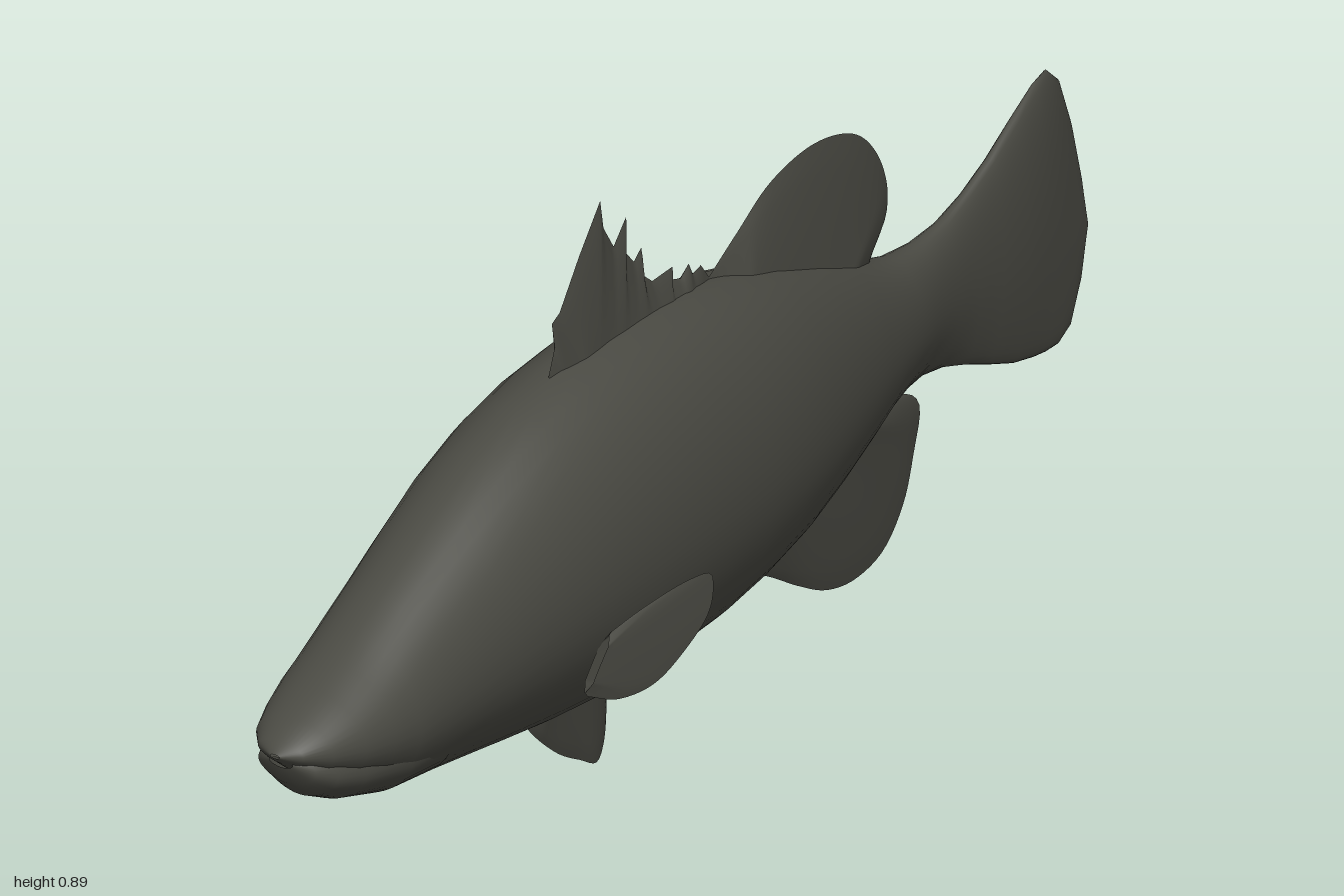
import * as THREE from 'three';

// Builds a smooth skin over a grid of points; closed joins each row's end to its start.
function skin(rows, closed) {
  const n = rows[0].length, pos = rows.flat(2), index = [];
  for (let i = 0; i < rows.length - 1; i++) {
    for (let j = 0; j < (closed ? n : n - 1); j++) {
      const k = (j + 1) % n;
      const a = i * n + j, b = i * n + k, c = a + n, d = b + n;
      index.push(a, b, c, b, d, c);
    }
  }
  const g = new THREE.BufferGeometry();
  g.setAttribute('position', new THREE.Float32BufferAttribute(pos, 3));
  g.setIndex(index);
  g.computeVertexNormals();
  return g;
}

// Egg-shaped rings along z; each section is [z, top, bottom, half width].
function loft(sections, sides = 40) {
  return skin(sections.map(([z, top, bottom, w]) => {
    const c = (top + bottom) / 2, h = (top - bottom) / 2;
    return Array.from({ length: sides }, (_, j) => {
      const a = (j / sides) * Math.PI * 2, s = Math.sin(a), y = Math.cos(a);
      const pinch = y < 0 ? 1 - 0.2 * y * y : 1;
      return [w * s * pinch, c + h * y, z];
    });
  }), true);
}

// Samples a list of [z, y] points, as a smooth curve or as straight spikes.
function sample(points, count, straight) {
  const v = points.map(([z, y]) => new THREE.Vector3(0, y, z));
  if (!straight) return new THREE.CatmullRomCurve3(v, false, 'centripetal').getSpacedPoints(count);
  const out = [];
  for (let i = 0; i <= count; i++) {
    const t = (i / count) * (v.length - 1), k = Math.min(Math.floor(t), v.length - 2);
    out.push(v[k].clone().lerp(v[k + 1], t - k));
  }
  return out;
}

// A fin spans from a base line to its rim, thick at the base and sharp at the rim.
function fin(name, material, base, rim, thick, { straight = false, bend = () => 0 } = {}) {
  const count = straight ? (rim.length - 1) * 4 : 48, steps = 8;
  const b = sample(base, count), r = sample(rim, count, straight);
  const group = new THREE.Group();
  group.name = name;
  for (const side of [1, -1]) {
    const rows = b.map((p, i) => {
      const ends = Math.min(1, 0.1 + 5 * Math.min(i, count - i) / count);
      return Array.from({ length: steps + 1 }, (_, j) => {
        const v = j / steps, q = p.clone().lerp(r[i], v);
        return [bend(q.z) + side * thick * ends * (1 - v) ** 0.8, q.y, q.z];
      });
    });
    const mesh = new THREE.Mesh(skin(side > 0 ? rows : rows.reverse(), false), material);
    mesh.name = name + (side > 0 ? 'LeftFace' : 'RightFace');
    group.add(mesh);
  }
  return group;
}

export function createModel() {
  const model = new THREE.Group();
  model.name = 'fish';
  const olive = new THREE.MeshStandardMaterial({ color: 0x4a4a43, side: THREE.DoubleSide });
  olive.name = 'dark olive grey';
  const add = (name, geometry) => {
    const mesh = new THREE.Mesh(geometry, olive);
    mesh.name = name;
    model.add(mesh);
  };

  // Head, trunk and the fan of the tail
  add('body', loft([
    [1, 0.348, 0.342, 0.008], [0.985, 0.364, 0.328, 0.04], [0.95, 0.386, 0.3, 0.068],
    [0.9, 0.408, 0.268, 0.09], [0.85, 0.43, 0.243, 0.105], [0.8, 0.455, 0.214, 0.115],
    [0.74, 0.49, 0.195, 0.122], [0.68, 0.522, 0.187, 0.129], [0.6, 0.565, 0.175, 0.14],
    [0.5, 0.614, 0.16, 0.154], [0.4, 0.65, 0.146, 0.164], [0.3, 0.671, 0.136, 0.17],
    [0.2, 0.68, 0.131, 0.172], [0.1, 0.68, 0.131, 0.17], [0, 0.671, 0.136, 0.165],
    [-0.1, 0.655, 0.15, 0.155], [-0.2, 0.628, 0.172, 0.138], [-0.3, 0.592, 0.205, 0.115],
    [-0.4, 0.552, 0.244, 0.09], [-0.46, 0.524, 0.27, 0.074], [-0.52, 0.507, 0.286, 0.06],
    [-0.58, 0.504, 0.289, 0.045], [-0.64, 0.512, 0.279, 0.035], [-0.7, 0.534, 0.258, 0.029],
    [-0.76, 0.565, 0.233, 0.028], [-0.82, 0.605, 0.21, 0.027], [-0.87, 0.636, 0.199, 0.023],
    [-0.9, 0.646, 0.195, 0.02], [-0.93, 0.618, 0.195, 0.016], [-0.96, 0.54, 0.212, 0.011],
    [-0.985, 0.445, 0.272, 0.007], [-1, 0.37, 0.345, 0.003],
  ]));

  // Lower jaw, set just inside the upper lip
  add('lowerJaw', loft([
    [0.985, 0.336, 0.322, 0.02], [0.97, 0.345, 0.29, 0.05], [0.94, 0.35, 0.26, 0.068],
    [0.89, 0.355, 0.235, 0.083], [0.8, 0.365, 0.207, 0.1], [0.7, 0.37, 0.192, 0.1],
  ]));

  // Spiny front fin on the back
  model.add(fin('spinyDorsalFin', olive,
    [[0.32, 0.65], [0.12, 0.66], [-0.07, 0.64]],
    [[0.325, 0.67], [0.31, 0.71], [0.317, 0.75], [0.298, 0.76], [0.25, 0.83], [0.198, 0.897],
      [0.19, 0.85], [0.165, 0.81], [0.134, 0.845], [0.142, 0.795], [0.115, 0.765],
      [0.097, 0.78], [0.1, 0.74], [0.07, 0.715], [0.02, 0.717], [0.03, 0.7], [0, 0.69],
      [-0.02, 0.705], [-0.03, 0.685], [-0.05, 0.69], [-0.07, 0.663]],
    0.018, { straight: true }));

  // Rounded rear fin on the back
  model.add(fin('rearDorsalFin', olive,
    [[-0.07, 0.64], [-0.28, 0.585], [-0.46, 0.505]],
    [[-0.07, 0.663], [-0.14, 0.705], [-0.22, 0.75], [-0.33, 0.767], [-0.43, 0.74], [-0.485, 0.685],
      [-0.51, 0.62], [-0.505, 0.575], [-0.475, 0.54], [-0.46, 0.52]],
    0.026));

  // Fins under the tail and belly
  model.add(fin('analFin', olive,
    [[-0.14, 0.18], [-0.32, 0.235], [-0.5, 0.3]],
    [[-0.14, 0.162], [-0.22, 0.12], [-0.29, 0.076], [-0.36, 0.04], [-0.43, 0.028], [-0.5, 0.045],
      [-0.55, 0.1], [-0.575, 0.17], [-0.59, 0.235], [-0.575, 0.26], [-0.53, 0.281], [-0.5, 0.287]],
    0.026));
  model.add(fin('pelvicFin', olive,
    [[0.39, 0.165], [0.29, 0.16], [0.19, 0.155]],
    [[0.39, 0.143], [0.36, 0.108], [0.3, 0.055], [0.25, 0.025], [0.205, 0.003], [0.19, 0.025],
      [0.183, 0.08], [0.19, 0.135]],
    0.022));

  // Mirrored side fins, flaring outwards to the rear
  for (const side of [1, -1]) {
    model.add(fin(side > 0 ? 'leftPectoralFin' : 'rightPectoralFin', olive,
      [[0.405, 0.338], [0.425, 0.3], [0.445, 0.258]],
      [[0.4, 0.342], [0.34, 0.365], [0.27, 0.383], [0.235, 0.382], [0.23, 0.36], [0.238, 0.32],
        [0.275, 0.275], [0.33, 0.235], [0.39, 0.23], [0.44, 0.25]],
      0.007, { bend: (z) => side * (0.153 + (0.43 - z) * 0.335) }));
  }
  return model;
}
